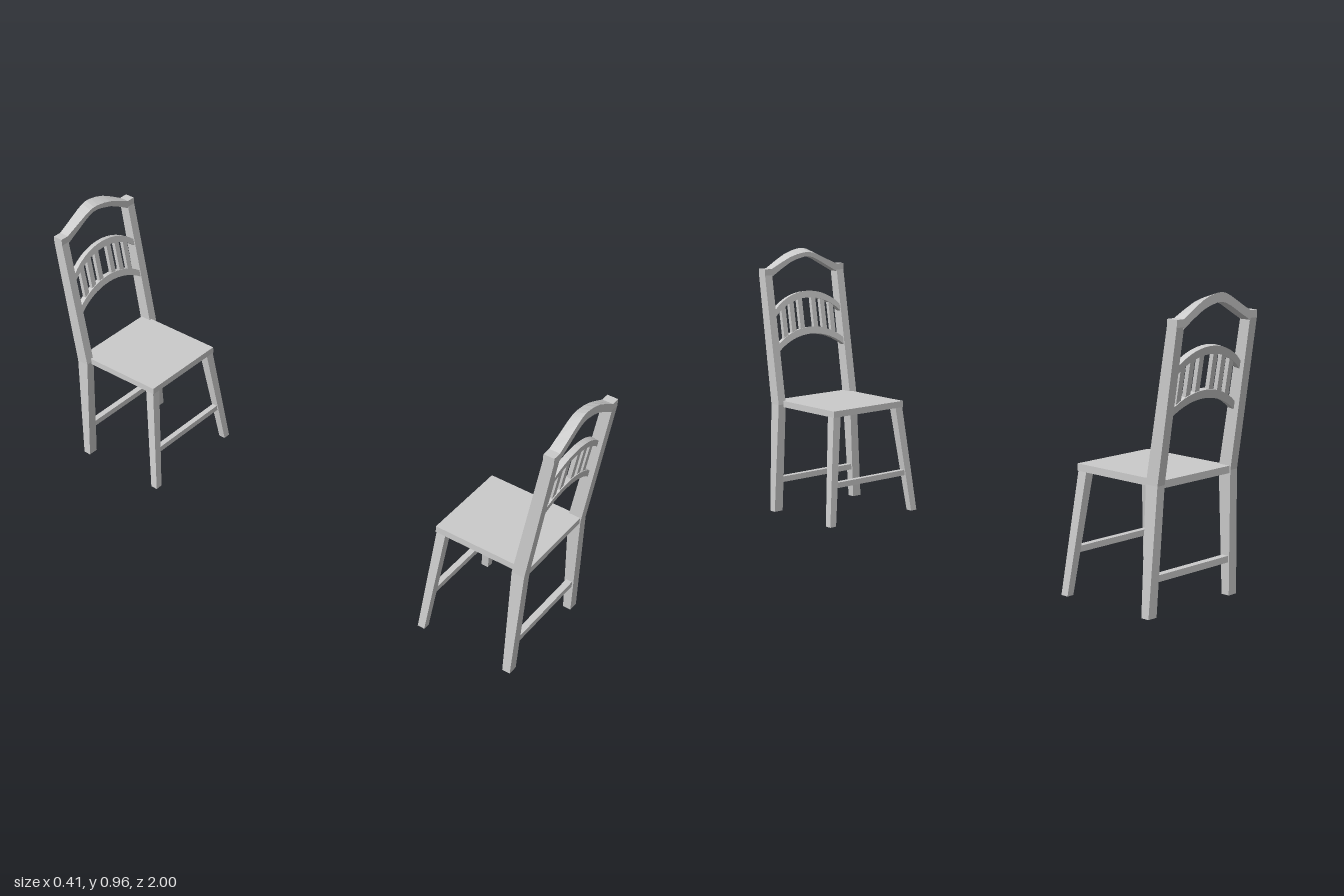
import * as THREE from 'three';

const material = new THREE.MeshStandardMaterial({ color: 0xcccccc, flatShading: true });

function add(group, name, geometry) {
  const mesh = new THREE.Mesh(geometry, material);
  mesh.name = name;
  group.add(mesh);
  return mesh;
}

// Box given by its limits on each axis
function block(x0, x1, y0, y1, z0, z1) {
  return new THREE.BoxGeometry(x1 - x0, y1 - y0, z1 - z0)
    .translate((x0 + x1) / 2, (y0 + y1) / 2, (z0 + z1) / 2);
}

// Four-sided post through rectangular sections [y, x0, x1, z0, z1], bottom to top
function post(sections, side) {
  const n = sections.length - 1;
  const geo = new THREE.BoxGeometry(1, 1, 1, 1, n, 1);
  const p = geo.attributes.position;
  for (let i = 0; i < p.count; i++) {
    const [y, x0, x1, z0, z1] = sections[Math.round((p.getY(i) + 0.5) * n)];
    const outer = p.getX(i) * side > 0;
    p.setXYZ(i, side * (outer ? x1 : x0), y, p.getZ(i) > 0 ? z1 : z0);
  }
  const flat = geo.toNonIndexed();
  flat.computeVertexNormals();
  return flat;
}

const arcY = (x, peak, radius) => peak - radius + Math.sqrt(radius * radius - x * x);

// Curved bar bowed upward
function archBar(peak, radius, height, depth) {
  const half = 0.153, steps = 14, top = [], bottom = [];
  for (let i = 0; i <= steps; i++) {
    const x = -half + (2 * half * i) / steps;
    const y = arcY(x, peak, radius);
    top.push(new THREE.Vector2(x, y));
    bottom.unshift(new THREE.Vector2(x, y - height));
  }
  return new THREE.ExtrudeGeometry(new THREE.Shape([...top, ...bottom]), { depth, bevelEnabled: false });
}

// Crest rail with a slightly off-centre peak and a top that slopes to the front
function crestRail(side) {
  const top = [[-0.151, 0.893], [-0.105, 0.918], [-0.06, 0.943], [-0.035, 0.954], [-0.016, 0.958], [0.005, 0.957],
    [0.035, 0.951], [0.067, 0.94], [0.105, 0.92], [0.151, 0.893]];
  const outline = [...top, ...top.map(([x, y]) => [x, y - 0.029]).reverse()];
  const shape = new THREE.Shape(outline.map(([x, y]) => new THREE.Vector2(x * side, y)));
  const geo = new THREE.ExtrudeGeometry(shape, { depth: 0.037, bevelEnabled: false }).translate(0, 0, 0.963);
  const p = geo.attributes.position;
  for (let i = 0; i < p.count; i++) {
    const x = p.getX(i), y = p.getY(i);
    const isTop = top.some(([a, b]) => Math.abs(a * side - x) < 1e-4 && Math.abs(b - y) < 1e-4);
    if (isTop && p.getZ(i) < 0.98) p.setY(i, y - 0.2 * (y - 0.893));
  }
  geo.computeVertexNormals();
  return geo;
}

// One chair with its back toward +z
function createChair(name, crestSide) {
  const chair = new THREE.Group();
  chair.name = name;

  add(chair, 'seat', block(-0.161, 0.161, 0.39, 0.413, 0.598, 0.937));

  for (const side of [1, -1]) {
    const label = side * crestSide > 0 ? 'A' : 'B';
    add(chair, 'backPost' + label, post([
      [0, 0.168, 0.204, 0.905, 0.933],
      [0.4, 0.151, 0.183, 0.895, 0.94],
      [0.87, 0.15, 0.182, 0.963, 1],
      [0.893, 0.15, 0.182, 0.963, 1],
    ], side));
    add(chair, 'frontLeg' + label, post([
      [0, 0.177, 0.203, 0.575, 0.601],
      [0.391, 0.128, 0.16, 0.601, 0.634],
    ], side));
  }

  // Stretchers between the legs
  add(chair, 'frontStretcher', block(-0.165, 0.165, 0.135, 0.155, 0.59, 0.61));
  add(chair, 'backStretcher', block(-0.165, 0.165, 0.106, 0.127, 0.908, 0.93));

  add(chair, 'crestRail', crestRail(crestSide));

  // Leaning back panel: two arched bars joined by six slats
  const panel = new THREE.Group();
  panel.name = 'backPanel';
  panel.position.set(0, 0.6, 0.928);
  panel.rotation.x = 0.145;
  chair.add(panel);
  const upper = { peak: 0.204, radius: 0.218, height: 0.025 };
  const lower = { peak: 0.07, radius: 0.242, height: 0.026 };
  add(panel, 'upperArch', archBar(upper.peak, upper.radius, upper.height, 0.02));
  add(panel, 'lowerArch', archBar(lower.peak, lower.radius, lower.height, 0.02));
  for (const side of [1, -1]) {
    for (const x of [0.031, 0.071, 0.11]) {
      const y0 = arcY(x, lower.peak, lower.radius) - 0.013;
      const y1 = arcY(x, upper.peak, upper.radius) - 0.013;
      add(panel, 'slat', block(side * x - 0.01, side * x + 0.01, y0, y1, 0.003, 0.017));
    }
  }
  return chair;
}

export function createModel() {
  const model = new THREE.Group();
  model.name = 'facingChairs';
  const near = createChair('nearChair', 1);
  const far = createChair('farChair', -1);
  far.rotation.y = Math.PI;
  model.add(near, far);
  return model;
}
